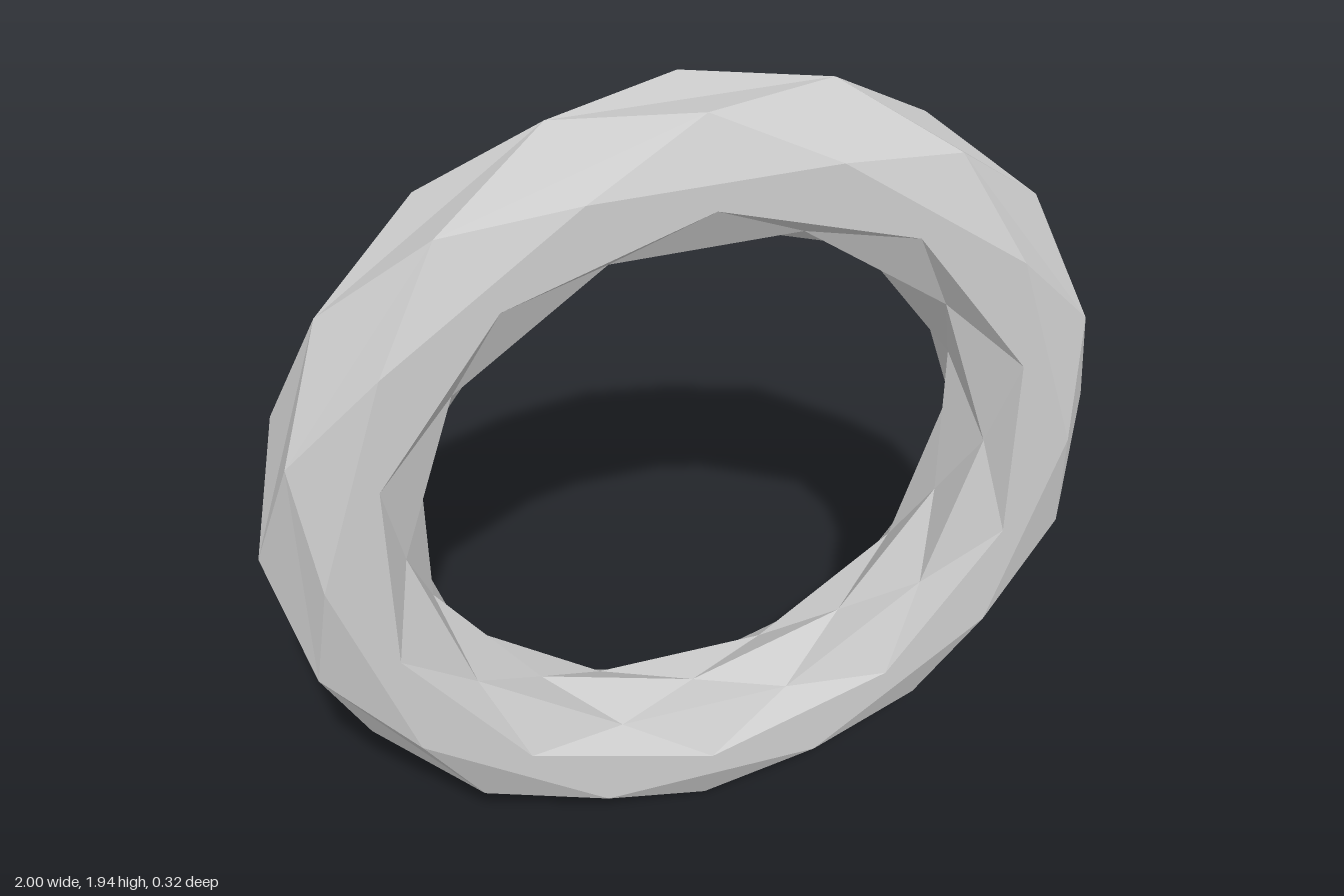
import * as THREE from 'three';

const SIDES = 10; // facets around the ring and around its tube
const RING_RADIUS = 0.83;
const TUBE_RADIUS = 0.17;

// Faceted torus: every second loop is turned by half a step, giving diamond facets
function diamondTorus() {
  const step = (Math.PI * 2) / SIDES;
  const positions = [];
  const index = [];
  const id = (i, k) => (i % SIDES) * SIDES + ((k + SIDES) % SIDES);

  for (let i = 0; i < SIDES; i++) {
    const odd = i % 2;
    const r = RING_RADIUS + TUBE_RADIUS * Math.cos(i * step);
    const z = TUBE_RADIUS * Math.sin(i * step);
    for (let k = 0; k < SIDES; k++) {
      const a = (k + odd / 2) * step;
      positions.push(r * Math.cos(a), r * Math.sin(a), z);

      // Two triangles join this loop to the next, staggered one
      const here = id(i, k);
      const ahead = id(i + 1, k + odd);
      const behind = id(i + 1, k + odd - 1);
      index.push(here, id(i, k + 1), ahead, here, ahead, behind);
    }
  }

  const geometry = new THREE.BufferGeometry();
  geometry.setAttribute('position', new THREE.Float32BufferAttribute(positions, 3));
  geometry.setIndex(index);
  const flat = geometry.toNonIndexed();
  flat.computeVertexNormals();
  return flat;
}

export function createModel() {
  const group = new THREE.Group();
  group.name = 'facetedRing';

  const material = new THREE.MeshStandardMaterial({ color: 0xcccccc, flatShading: true });
  const ring = new THREE.Mesh(diamondTorus(), material);
  ring.name = 'ring';
  // Stand the lowest corners on the ground
  ring.position.y = RING_RADIUS + TUBE_RADIUS * Math.cos(Math.PI / 5);
  group.add(ring);

  return group;
}
